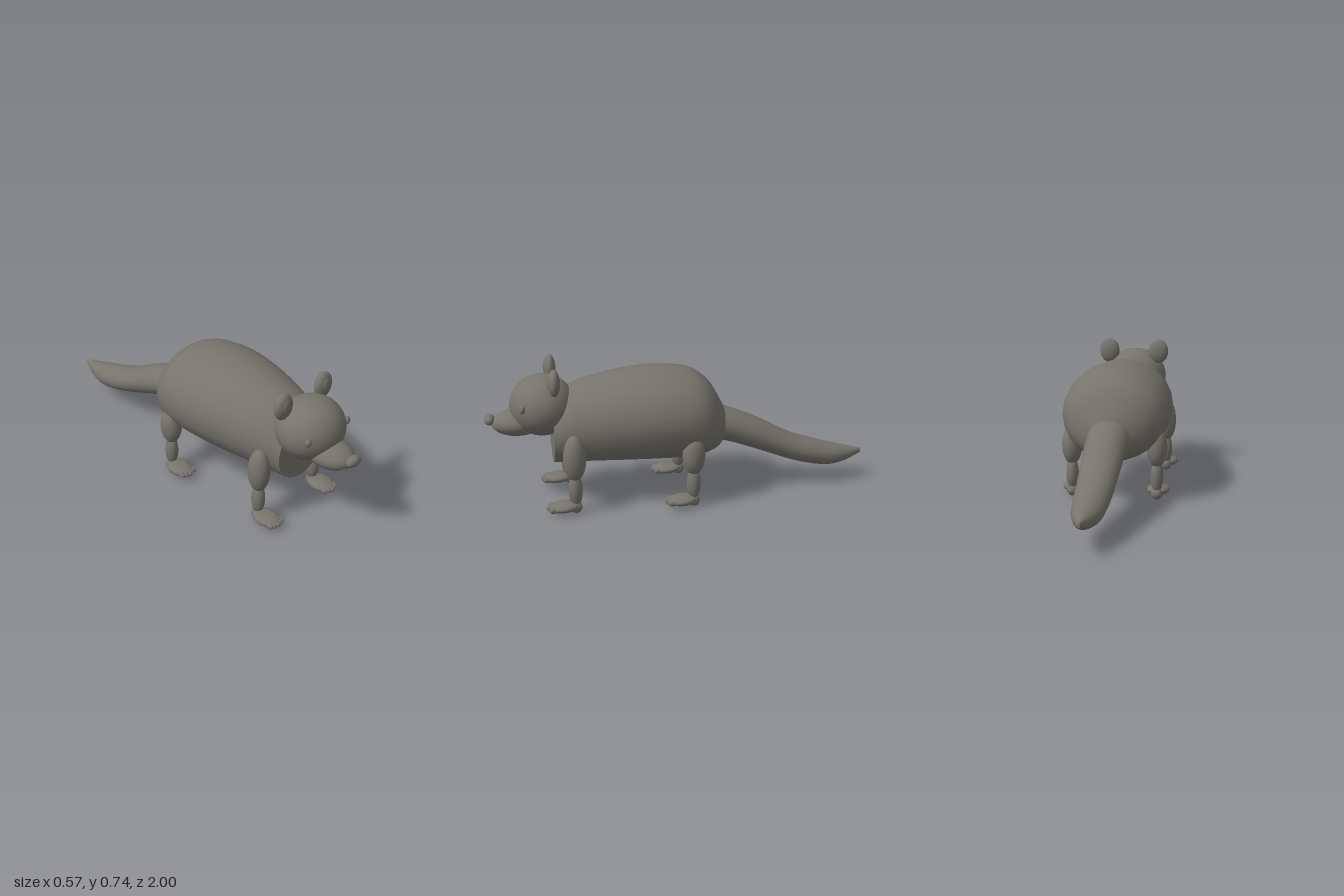
import * as THREE from 'three';

const fur = new THREE.MeshStandardMaterial({ color: 0x77746c });
fur.name = 'greyFur';

// Ellipsoid part: centre and three radii
function blob(parent, name, [x, y, z], [rx, ry, rz], seg = 28) {
  const g = new THREE.SphereGeometry(1, seg, Math.round(seg * 0.7));
  g.scale(rx, ry, rz);
  const m = new THREE.Mesh(g, fur);
  m.name = name;
  m.position.set(x, y, z);
  parent.add(m);
  return m;
}

// Skin over elliptical rings [z, bottom, top, halfWidth], ordered front to back
function loft(parent, name, rings, sides) {
  const curve = (k) => new THREE.CatmullRomCurve3(
    rings.map((r) => new THREE.Vector3(r[0], r[k], r[3])), false, 'centripetal');
  const low = curve(1), high = curve(2);
  const steps = (rings.length - 1) * 4;
  const pos = [], idx = [];
  for (let i = 0; i <= steps; i++) {
    const a = low.getPoint(i / steps), b = high.getPoint(i / steps);
    const cy = (a.y + b.y) / 2, ry = (b.y - a.y) / 2;
    for (let j = 0; j < sides; j++) {
      const t = (j / sides) * Math.PI * 2;
      pos.push(Math.cos(t) * (a.z + b.z) / 2, cy + Math.sin(t) * ry, (a.x + b.x) / 2);
      if (i < steps) {
        const p = i * sides + j, q = i * sides + (j + 1) % sides;
        idx.push(p, p + sides, q, q, p + sides, q + sides);
      }
    }
  }
  // End caps on their own vertices so the rims stay crisp
  for (const [row, flip] of [[0, false], [steps, true]]) {
    const start = pos.length / 3;
    for (let j = 0; j < sides; j++) {
      const k = (row * sides + j) * 3;
      pos.push(pos[k], pos[k + 1], pos[k + 2]);
    }
    for (let j = 1; j < sides - 1; j++) {
      if (flip) idx.push(start, start + j + 1, start + j);
      else idx.push(start, start + j, start + j + 1);
    }
  }
  const g = new THREE.BufferGeometry();
  g.setAttribute('position', new THREE.Float32BufferAttribute(pos, 3));
  g.setIndex(idx);
  g.computeVertexNormals();
  const m = new THREE.Mesh(g, fur);
  m.name = name;
  parent.add(m);
}

// Leg with thigh, shin, paw and five toes
function leg(parent, name, x, z, top) {
  const g = new THREE.Group();
  g.name = name;
  const mid = (top + 0.175) / 2;
  blob(g, 'upperLeg', [x, mid, z], [0.053, top - mid, 0.058]);
  blob(g, 'lowerLeg', [x, 0.125, z], [0.033, 0.088, 0.036]);
  blob(g, 'heel', [x, 0.034, z - 0.002], [0.03, 0.032, 0.03], 18);
  const paw = blob(g, 'paw', [x, 0.04, z + 0.06], [0.06, 0.027, 0.078]);
  paw.rotation.x = 0.06;
  for (let i = -2; i <= 2; i++) {
    blob(g, 'toe', [x + i * 0.019, 0.036, z + 0.128 - Math.abs(i) * 0.006],
      [0.0105, 0.015, 0.021], 14);
  }
  parent.add(g);
}

export function createModel() {
  const model = new THREE.Group();
  model.name = 'marsupial';

  loft(model, 'body', [
    [0.66, 0.215, 0.545, 0.165],
    [0.56, 0.214, 0.62, 0.2],
    [0.42, 0.213, 0.66, 0.24],
    [0.28, 0.211, 0.685, 0.268],
    [0.14, 0.209, 0.695, 0.284],
    [0.02, 0.208, 0.687, 0.282],
    [-0.08, 0.213, 0.66, 0.262],
    [-0.15, 0.228, 0.605, 0.215],
    [-0.2, 0.25, 0.525, 0.15],
    [-0.235, 0.285, 0.455, 0.085],
  ], 24);

  loft(model, 'tail', [
    [-0.16, 0.28, 0.475, 0.108],
    [-0.24, 0.27, 0.455, 0.107],
    [-0.4, 0.215, 0.39, 0.102],
    [-0.6, 0.138, 0.285, 0.092],
    [-0.72, 0.104, 0.243, 0.085],
    [-0.82, 0.092, 0.213, 0.073],
    [-0.91, 0.106, 0.19, 0.046],
    [-0.97, 0.13, 0.175, 0.02],
    [-1, 0.144, 0.166, 0.006],
  ], 24);

  // Head, muzzle, nose and mouth
  const head = new THREE.Group();
  head.name = 'head';
  model.add(head);
  blob(head, 'skull', [0, 0.523, 0.705], [0.177, 0.156, 0.166], 40);
  blob(head, 'muzzle', [0, 0.437, 0.83], [0.097, 0.068, 0.135], 32);
  blob(head, 'nose', [0, 0.458, 0.973], [0.045, 0.028, 0.027], 24);
  const smile = new THREE.QuadraticBezierCurve3(
    new THREE.Vector3(-0.055, 0.417, 0.945),
    new THREE.Vector3(0, 0.405, 0.965),
    new THREE.Vector3(0.055, 0.417, 0.945));
  const mouth = new THREE.Mesh(new THREE.TubeGeometry(smile, 16, 0.003, 8), fur);
  mouth.name = 'mouth';
  head.add(mouth);

  for (const s of [-1, 1]) {
    const side = s > 0 ? 'left' : 'right';
    blob(head, side + 'Ear', [s * 0.14, 0.673, 0.652], [0.056, 0.069, 0.031]);
    blob(head, side + 'InnerEar', [s * 0.14, 0.675, 0.672], [0.033, 0.043, 0.014], 24);
    blob(head, side + 'Eye', [s * 0.138, 0.545, 0.812], [0.02, 0.022, 0.015], 20);
    blob(head, side + 'EyeGlint', [s * 0.129, 0.55, 0.826], [0.005, 0.005, 0.004], 10);
    leg(model, side + 'FrontLeg', s * 0.202, 0.568, 0.413);
    leg(model, side + 'HindLeg', s * 0.224, -0.034, 0.383);
  }
  return model;
}
